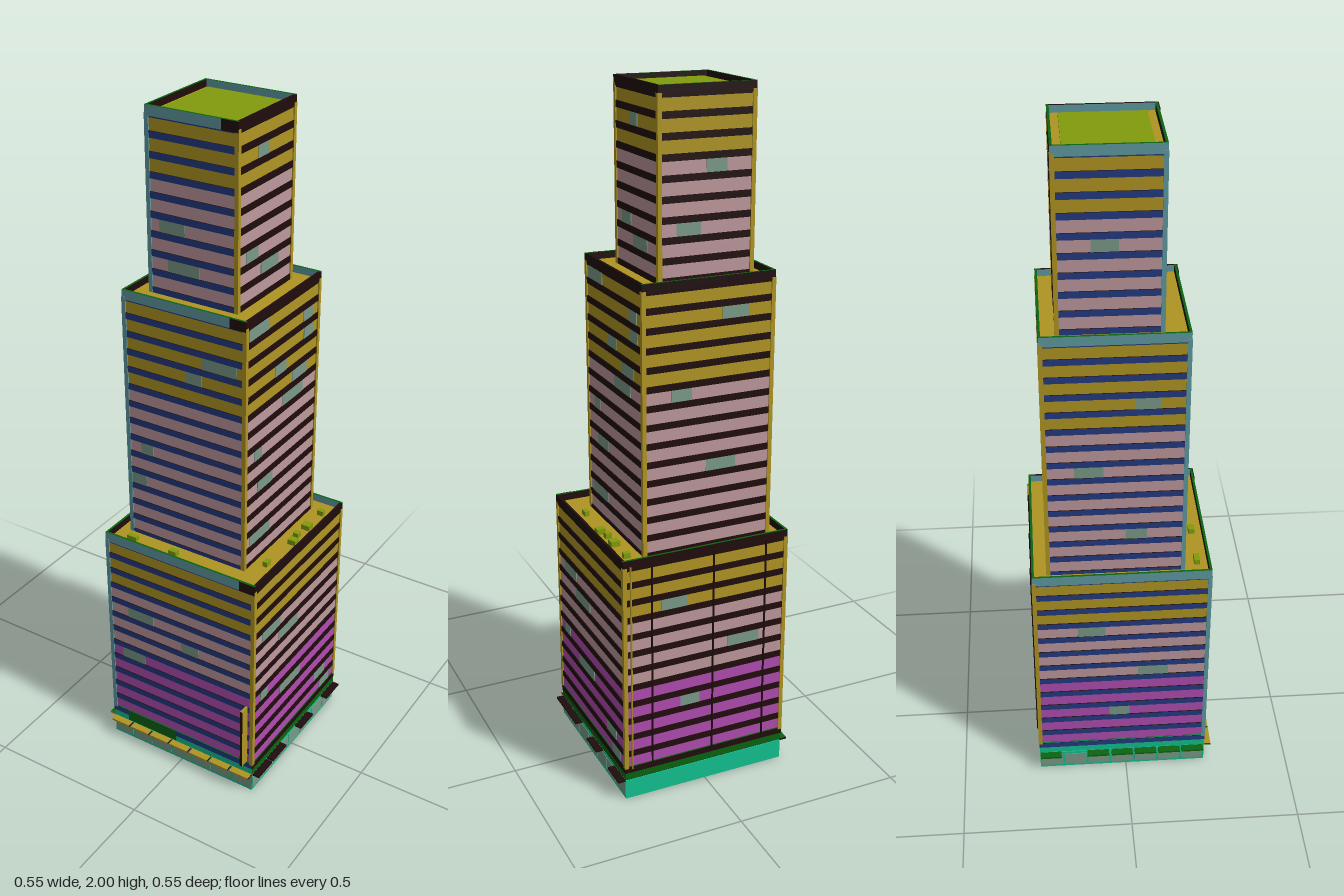
import * as THREE from 'three';

const mat = (name, color, extra = {}) => Object.assign(new THREE.MeshStandardMaterial({ color, ...extra }), { name });
const ochre = mat('ochre', 0xb09522);
const pink = mat('pink', 0xbd989c);
const magenta = mat('magenta', 0xb04cb0);
const blue = mat('blue', 0x223a80);
const dark = mat('dark brown', 0x200c0c);
const olive = mat('olive', 0x839b0e);
const sage = mat('sage', 0x7a9a88);
const teal = mat('teal', 0x12c08f);
const green = mat('dark green', 0x0a640f);
const steel = mat('steel blue', 0x5f9aa0);

// Face order: +x, -x, top, bottom, +z, -z
const spandrelMats = [dark, blue, dark, dark, blue, dark];
const parapetMats = [dark, steel, green, dark, steel, dark];
const PITCH = 0.0535;

function box(parent, name, m, w, h, d, x, y, z) {
  const mesh = new THREE.Mesh(new THREE.BoxGeometry(w, h, d), m);
  mesh.name = name;
  mesh.position.set(x, y, z);
  parent.add(mesh);
  return mesh;
}

// Bounds of each tier; rows run from the top down, colours listed as [material, rows]
const tiers = [
  { name: 'lowerTier', x: [-0.255, 0.255], z: [-0.268, 0.245], y0: 0.1, top: 0.76, roof: 0.738, first: 0.71,
    rows: [[ochre, 3], [pink, 4], [magenta, 5]] },
  { name: 'middleTier', x: [-0.217, 0.175], z: [-0.225, 0.17], y0: 0.735, top: 1.51, roof: 1.49, first: 1.462,
    rows: [[ochre, 5], [pink, 9]] },
  { name: 'upperTier', x: [-0.172, 0.108], z: [-0.18, 0.104], y0: 1.485, top: 2.0, roof: 1.98, first: 1.952,
    rows: [[ochre, 3], [pink, 6]] },
];

// Lit window panes per tier and side: [position along wall, row from top, width]
const panes = [
  { front: [[-0.14, 4, 0.09], [0.035, 5, 0.06], [-0.17, 7, 0.08]],
    right: [[0.145, 3, 0.1], [0.045, 4, 0.11], [0.18, 7, 0.04], [0.025, 8, 0.12], [-0.165, 10, 0.07], [-0.2, 11, 0.06]],
    back: [[0.1, 2, 0.08], [-0.12, 5, 0.1], [0.05, 8, 0.06]],
    left: [[-0.1, 3, 0.08], [0.08, 6, 0.09], [-0.02, 9, 0.06]] },
  { front: [[0.09, 2, 0.11], [0.01, 3, 0.05], [-0.15, 8, 0.04], [-0.18, 10, 0.05]],
    right: [[0.1, 0, 0.1], [-0.16, 1, 0.05], [-0.165, 2, 0.05], [-0.015, 3, 0.06], [-0.12, 4, 0.08],
      [-0.085, 5, 0.11], [0.1, 7, 0.04], [0.06, 9, 0.08], [0.085, 12, 0.11]],
    back: [[-0.1, 1, 0.08], [0.06, 5, 0.06], [-0.06, 9, 0.09]],
    left: [[0.06, 3, 0.07], [-0.1, 7, 0.08], [0.03, 11, 0.06]] },
  { front: [[-0.095, 5, 0.08], [-0.06, 7, 0.1]],
    right: [[-0.02, 1, 0.05], [0.03, 6, 0.06], [-0.06, 7, 0.09]],
    back: [[-0.06, 3, 0.06], [0.02, 6, 0.07]],
    left: [[-0.05, 4, 0.07]] },
];

function buildTier(t, litPanes) {
  const g = new THREE.Group();
  g.name = t.name;
  const [x0, x1] = t.x, [z0, z1] = t.z;
  const w = x1 - x0, d = z1 - z0, cx = (x0 + x1) / 2, cz = (z0 + z1) / 2;
  const inset = 0.003;

  // Window bands with a projecting spandrel beneath each
  let row = 0;
  for (const [m, count] of t.rows) {
    for (let i = 0; i < count; i++, row++) {
      const y = t.first - row * PITCH;
      box(g, 'windowBand', m, w - 2 * inset, 0.038, d - 2 * inset, cx, y, cz);
      box(g, 'spandrel', spandrelMats, w, 0.0185, d, cx, y - PITCH / 2, cz);
    }
  }

  // Lit panes as thin plates
  for (const [side, list] of Object.entries(litPanes)) {
    for (const [p, r, len] of list) {
      const y = t.first - r * PITCH, h = 0.034, e = 0.002;
      if (side === 'front') box(g, 'windowPane', sage, len, h, e, p, y, z1 - inset + 0.001);
      if (side === 'back') box(g, 'windowPane', sage, len, h, e, p, y, z0 + inset - 0.001);
      if (side === 'right') box(g, 'windowPane', sage, e, h, len, x1 - inset + 0.001, y, p);
      if (side === 'left') box(g, 'windowPane', sage, e, h, len, x0 + inset - 0.001, y, p);
    }
  }

  // Corner posts
  const ph = t.roof - t.y0, py = (t.roof + t.y0) / 2, s = 0.012;
  for (const [x, z, m] of [[x0, z1, steel], [x1, z1, ochre], [x0, z0, ochre], [x1, z0, ochre]]) {
    box(g, 'cornerPost', m, s, ph, s, x - Math.sign(x - cx) * (s / 2 - 0.001), py, z - Math.sign(z - cz) * (s / 2 - 0.001));
  }

  // Roof slab and parapet walls
  box(g, 'roofSlab', [dark, blue, ochre, dark, blue, dark], w - 0.004, 0.012, d - 0.004, cx, t.roof - 0.006, cz);
  const th = 0.007, hh = t.top - t.roof + 0.008, hy = t.top - hh / 2;
  const darkTop = [dark, steel, dark, dark, steel, dark];
  box(g, 'frontParapet', parapetMats, w, hh, th, cx, hy, z1 - th / 2);
  box(g, 'backParapet', parapetMats, w, hh, th, cx, hy, z0 + th / 2);
  box(g, 'leftParapet', parapetMats, th, hh, d - 2 * th, x0 + th / 2, hy, cz);
  box(g, 'rightParapet', darkTop, th, hh, d - 2 * th, x1 - th / 2, hy, cz);
  box(g, 'parapetPlate', dark, 0.05, hh, 0.002, x1 - 0.025, hy, z1 + 0.001);
  return g;
}

function buildBase() {
  const g = new THREE.Group();
  g.name = 'base';
  const cz = -0.0115;
  box(g, 'plinth', teal, 0.506, 0.06, 0.509, 0, 0.03, cz);
  box(g, 'shadowGap', dark, 0.5, 0.006, 0.503, 0, 0.061, cz);
  box(g, 'fascia', [green, teal, green, dark, teal, green], 0.508, 0.042, 0.511, 0, 0.085, cz);
  box(g, 'fasciaPanel', green, 0.18, 0.036, 0.002, -0.11, 0.085, 0.2445);

  // Shopfront panels on the front and both sides
  for (let i = 0; i < 7; i++) {
    const p = (i - 3) * 0.0725;
    box(g, 'shopPanel', sage, 0.066, 0.044, 0.003, p, 0.03, 0.243);
    for (const s of [-1, 1]) box(g, 'shopPanel', sage, 0.003, 0.044, 0.066, s * 0.253, 0.03, p + cz);
  }

  // Awnings
  for (let i = 0; i < 7; i++) {
    box(g, 'frontAwning', [dark, green, ochre, dark, ochre, dark], 0.066, 0.006, 0.022, (i - 3) * 0.0728, 0.06, 0.254);
  }
  for (const [a, b] of [[-0.265, -0.185], [-0.093, -0.017], [0.075, 0.155], [0.162, 0.24]]) {
    box(g, 'rightAwning', dark, 0.022, 0.006, b - a, 0.265, 0.06, (a + b) / 2);
  }
  for (const [a, b] of [[-0.265, -0.2], [-0.12, -0.053], [-0.045, 0.02], [0.027, 0.093], [0.1, 0.167], [0.172, 0.24]]) {
    box(g, 'leftAwning', [dark, green, green, dark, ochre, dark], 0.022, 0.006, b - a, -0.265, 0.06, (a + b) / 2);
  }
  return g;
}

export function createModel() {
  const model = new THREE.Group();
  model.name = 'steppedTower';
  model.add(buildBase());
  tiers.forEach((t, i) => model.add(buildTier(t, panes[i])));

  // Blade sign on the front corner
  box(model, 'bladeSign', [ochre, green, ochre, dark, dark, dark], 0.008, 0.21, 0.03, 0.232, 0.215, 0.258);

  // Pipes down the back wall
  for (const [x, m] of [[0.233, ochre], [0.17, dark], [-0.02, dark], [-0.185, dark]]) {
    const pipe = new THREE.Mesh(new THREE.CylinderGeometry(0.003, 0.003, 0.64, 8), m);
    pipe.name = 'drainPipe';
    pipe.position.set(x, 0.42, -0.27);
    model.add(pipe);
  }

  // Rooftop units on the lowest setback
  const units = [[0.217, -0.203, 0.02, 0.015], [0.217, -0.116, 0.027, 0.025], [0.214, -0.062, 0.018, 0.018],
    [0.222, -0.025, 0.026, 0.022], [0.213, 0.11, 0.014, 0.022], [-0.183, 0.208, 0.032, 0.016], [-0.04, 0.208, 0.027, 0.018]];
  for (const [x, z, w, d] of units) box(model, 'roofUnit', olive, w, 0.016, d, x, 0.746, z);

  // Green deck on the top roof
  box(model, 'roofDeck', olive, 0.226, 0.008, 0.227, -0.032, 1.984, -0.038);
  return model;
}
